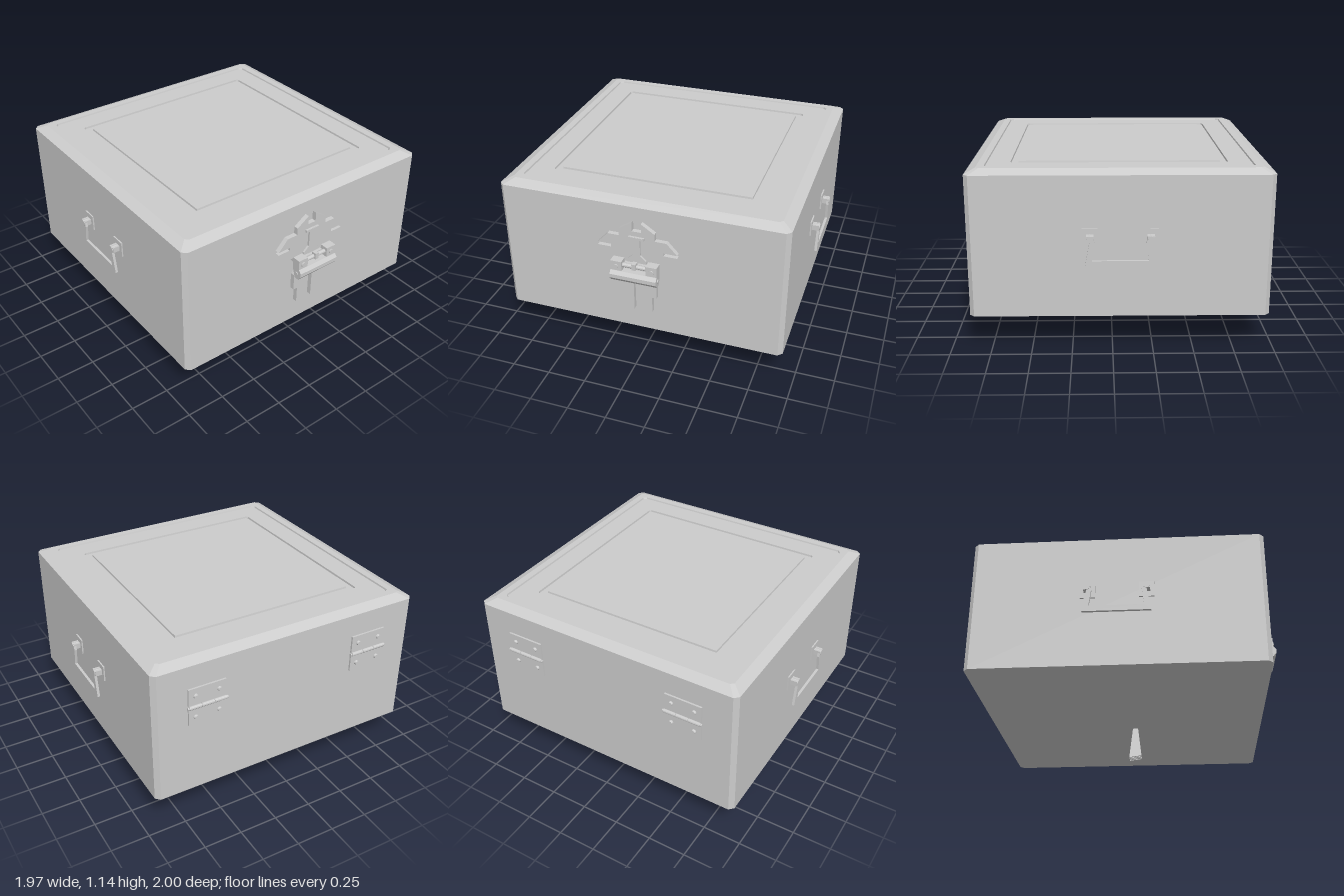
import * as THREE from 'three';

const material = new THREE.MeshStandardMaterial({ color: 0xcccccc, flatShading: true, side: THREE.DoubleSide });
const MID_Z = -0.045; // centre of the case body

function add(parent, name, geometry, x = 0, y = 0, z = 0) {
  const mesh = new THREE.Mesh(geometry, material);
  mesh.name = name;
  mesh.position.set(x, y, z);
  parent.add(mesh);
  return mesh;
}
const box = (w, h, d) => new THREE.BoxGeometry(w, h, d);
const rod = (r, length, sides = 12) => new THREE.CylinderGeometry(r, r, length, sides);
const shapeOf = (points) => new THREE.Shape(points.map(([a, b]) => new THREE.Vector2(a, b)));
const extrude = (points, depth) => new THREE.ExtrudeGeometry(shapeOf(points), { depth, bevelEnabled: false });
const mirrored = (half) => [...half, ...half.map(([x, y]) => [-x, y]).reverse()];

// Extrudes a (z, y) profile along x, centred on x = 0
function extrudeAlongX(points, width) {
  const g = extrude(points.map(([z, y]) => [-z, y]), width);
  return g.translate(0, 0, -width / 2).rotateY(Math.PI / 2);
}

// Skins a stack of square rings with cut corners: [half size, height, corner cut]
function loftSquares(rings) {
  const positions = [];
  const loops = rings.map(([s, y, c]) => [
    [s, y, -s + c], [s - c, y, -s], [-s + c, y, -s], [-s, y, -s + c],
    [-s, y, s - c], [-s + c, y, s], [s - c, y, s], [s, y, s - c],
  ]);
  for (let i = 0; i < loops.length - 1; i++) {
    for (let j = 0; j < 8; j++) {
      const k = (j + 1) % 8;
      const [a, b, c, d] = [loops[i][j], loops[i][k], loops[i + 1][k], loops[i + 1][j]];
      positions.push(...a, ...b, ...c, ...a, ...c, ...d);
    }
  }
  const g = new THREE.BufferGeometry();
  g.setAttribute('position', new THREE.Float32BufferAttribute(positions, 3));
  g.computeVertexNormals();
  return g;
}

// Case with bevelled lid edge, sunken top panel and a square groove
function buildCase(root) {
  add(root, 'case', loftSquares([
    [0, 0.22, 0], [0.925, 0.22, 0.028], [0.925, 1.11, 0.028], [0.86, 1.14, 0.02],
    [0.815, 1.14, 0.02], [0.812, 1.13, 0.02], [0.67, 1.13, 0.012], [0.668, 1.118, 0.012],
    [0.625, 1.118, 0], [0.623, 1.13, 0], [0, 1.13, 0],
  ]), 0, 0, MID_Z);
}

// Swinging carry handle with its two mounts, built on the +x side
function buildHandle() {
  const handle = new THREE.Group();
  handle.name = 'sideHandle';
  const bail = mirrored([[0.212, 0.56], [0.185, 0.71], [0.198, 0.75], [0.163, 0.75], [0.155, 0.71], [0.17, 0.597]]);
  // Outer outline down to the inner one, as a single open-topped loop
  const g = extrude(bail, 0.017);
  g.rotateY(Math.PI / 2);
  add(handle, 'handleBail', g, 0.963, 0, 0);
  for (const s of [-1, 1]) {
    add(handle, 'handlePlate', box(0.01, 0.105, 0.095), 0.929, 0.732, s * 0.183);
    add(handle, 'handleMount', box(0.05, 0.036, 0.045), 0.954, 0.732, s * 0.183);
    const pivot = add(handle, 'handlePivot', rod(0.02, 0.06), 0.953, 0.732, s * 0.183);
    pivot.rotation.z = Math.PI / 2;
  }
  return handle;
}

// Back hinge: two leaves, a pin barrel and four screws
function buildHinge(x) {
  const hinge = new THREE.Group();
  hinge.name = 'hinge';
  for (const s of [-1, 1]) {
    add(hinge, 'hingeLeaf', box(0.25, 0.117, 0.012), 0, s * 0.0665, -0.006);
    for (const t of [-1, 1]) {
      const screw = add(hinge, 'hingeScrew', new THREE.CylinderGeometry(0.016, 0.012, 0.014, 12), t * 0.078, s * 0.073, -0.018);
      screw.rotation.x = Math.PI / 2;
    }
  }
  for (const t of [-1, 0, 1]) {
    const knuckle = add(hinge, 'hingeKnuckle', rod(0.013, 0.08), t * 0.083, 0, -0.015);
    knuckle.rotation.z = Math.PI / 2;
  }
  const pin = add(hinge, 'hingePin', rod(0.009, 0.268), 0, 0, -0.015);
  pin.rotation.z = Math.PI / 2;
  hinge.position.set(x, 0.835, -0.97);
  return hinge;
}

// Front latch: winged plate above, forked plate below, clasp across both
function buildLatch() {
  const latch = new THREE.Group();
  latch.name = 'latch';
  add(latch, 'upperPlate', extrude(mirrored([
    [0.03, 0.96], [0.03, 1.02], [0.115, 0.963], [0.115, 0.915], [0.19, 0.915], [0.257, 0.842],
    [0.17, 0.842], [0.17, 0.822], [0.257, 0.822], [0.187, 0.75], [0.13, 0.75], [0.13, 0.715],
  ]), 0.03), 0, 0, 0.88);
  add(latch, 'lowerPlate', extrude(mirrored([
    [0.03, 0.575], [0.03, 0.38], [0.09, 0.38], [0.09, 0.492], [0.12, 0.492],
    [0.12, 0.605], [0.105, 0.63], [0.105, 0.675],
  ]), 0.03), 0, 0, 0.88);

  // T-shaped hook that flares towards the clasp
  add(latch, 'hook', extrude(mirrored([
    [0.05, 0.927], [0.05, 0.91], [0.024, 0.91], [0.024, 0.80], [0.06, 0.765], [0.065, 0.70],
  ].reverse()), 0.014), 0, 0, 0.909);
  add(latch, 'hookLip', box(0.1, 0.016, 0.02), 0, 0.918, 0.915);

  // Clasp body with a pair of raised ears
  add(latch, 'claspBody', extrudeAlongX([
    [0.925, 0.705], [0.983, 0.705], [1.0, 0.683], [1.0, 0.657], [0.978, 0.63], [0.947, 0.63], [0.93, 0.68],
  ], 0.3));
  add(latch, 'claspBack', box(0.15, 0.05, 0.02), 0, 0.72, 0.93);
  for (const s of [-1, 1]) {
    add(latch, 'claspEar', box(0.072, 0.066, 0.055), s * 0.114, 0.737, 0.9525);
    const screw = add(latch, 'claspScrew', rod(0.016, 0.01), s * 0.115, 0.735, 0.983);
    screw.rotation.x = Math.PI / 2;
    const cap = add(latch, 'claspPinCap', rod(0.012, 0.008), s * 0.152, 0.67, 0.963);
    cap.rotation.z = Math.PI / 2;
  }
  const axle = add(latch, 'claspAxle', rod(0.014, 0.17), 0, 0.738, 0.955);
  axle.rotation.z = Math.PI / 2;
  add(latch, 'claspCatch', box(0.026, 0.042, 0.035), 0, 0.745, 0.96);
  return latch;
}

// Splayed flat strips hanging under the case
function buildTassel() {
  const tassel = new THREE.Group();
  tassel.name = 'tassel';
  const blade = [[-0.017, 0.23], [0.017, 0.23], [0.042, 0.012], [-0.042, 0]];
  for (let i = 0; i < 4; i++) {
    const spread = (i - 1.5) / 1.5;
    const g = extrudeAlongX(blade, 0.012);
    const p = g.attributes.position;
    for (let v = 0; v < p.count; v++) {
      const drop = (0.23 - p.getY(v)) / 0.23;
      p.setX(v, p.getX(v) + spread * (0.014 + 0.026 * drop));
    }
    g.computeVertexNormals();
    add(tassel, 'tasselStrip', g);
  }
  tassel.position.set(0.138, 0, 0.003);
  return tassel;
}

export function createModel() {
  const root = new THREE.Group();
  root.name = 'latchedCase';
  buildCase(root);
  for (const s of [-1, 1]) {
    const handle = buildHandle();
    handle.position.z = MID_Z;
    if (s < 0) handle.rotation.y = Math.PI;
    root.add(handle, buildHinge(s * 0.58));
  }
  root.add(buildLatch(), buildTassel());
  return root;
}
